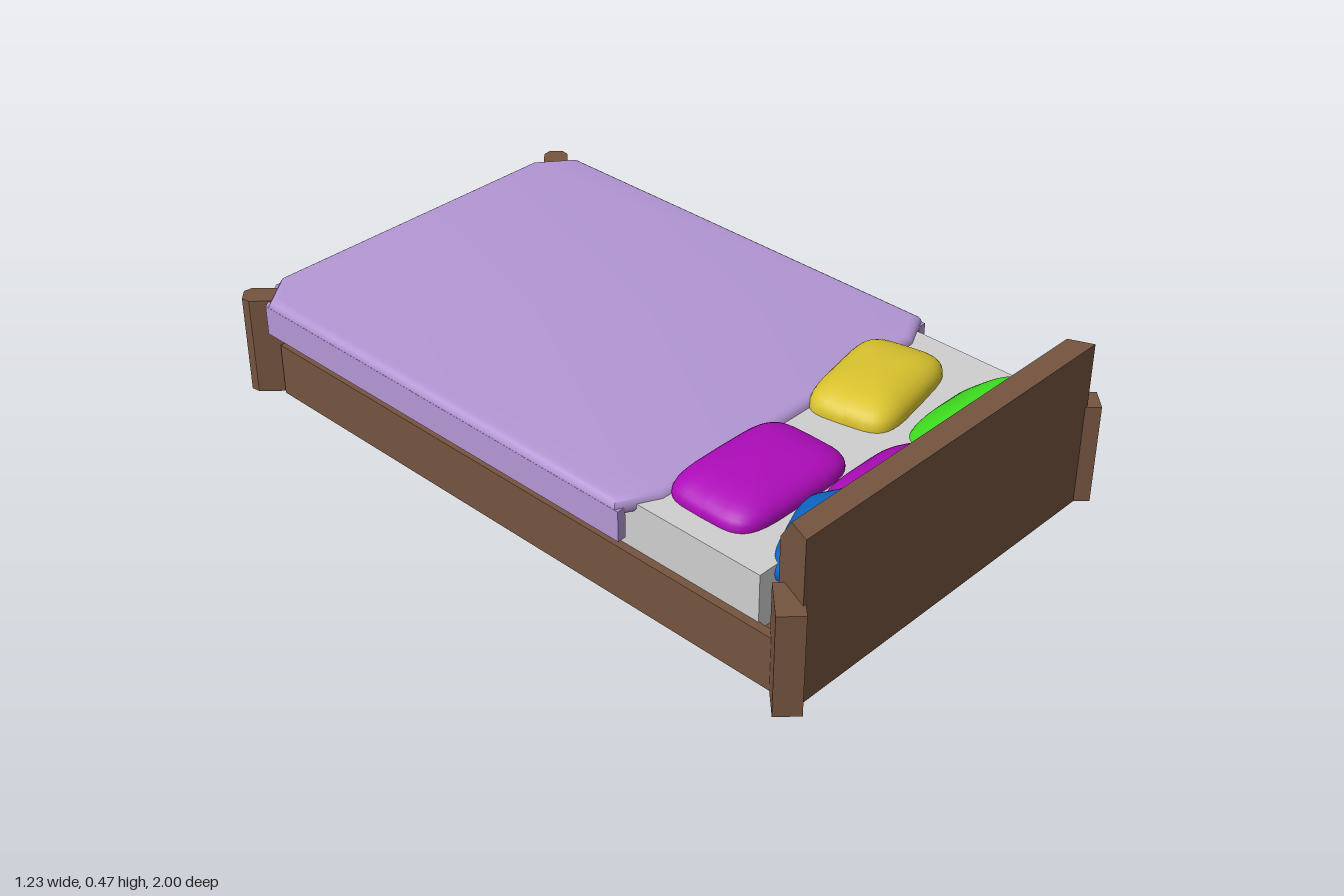
import * as THREE from 'three';
import { toCreasedNormals } from 'three/addons/utils/BufferGeometryUtils.js';

const mat = (name, color) => {
  const m = new THREE.MeshStandardMaterial({ color });
  m.name = name;
  return m;
};

export function createModel() {
  const bed = new THREE.Group();
  bed.name = 'bed';
  const wood = mat('brown wood', 0x755440);
  const linen = mat('pale grey linen', 0xcfcfcf);
  const lilac = mat('lilac blanket', 0xb396d4);
  const magenta = mat('magenta', 0xae0cba);
  const yellow = mat('yellow', 0xdac32e);
  const green = mat('green', 0x3fe01f);
  const blue = mat('blue', 0x0d66c8);

  const add = (name, geometry, material) => {
    const m = new THREE.Mesh(geometry, material);
    m.name = name;
    bed.add(m);
    return m;
  };
  // box given by its limits on each axis
  const box = (name, x0, x1, y0, y1, z0, z1, material) =>
    add(name, new THREE.BoxGeometry(x1 - x0, y1 - y0, z1 - z0), material)
      .position.set((x0 + x1) / 2, (y0 + y1) / 2, (z0 + z1) / 2);
  // plan outline of [x, z] points, extruded down from y = top
  const slab = (points, top, depth, options = {}) => {
    const shape = new THREE.Shape(points.map(p => new THREE.Vector2(...p)));
    const g = new THREE.ExtrudeGeometry(shape, { depth, bevelEnabled: false, ...options });
    return g.rotateX(Math.PI / 2).translate(0, top, 0);
  };

  // frame: side rails, foot rail, floor panel
  for (const s of [-1, 1]) {
    const side = s > 0 ? 'left' : 'right';
    box(side + 'Rail', s * 0.54 - 0.0125, s * 0.54 + 0.0125, 0, 0.155, -0.89, 0.89, wood);
  }
  box('footRail', -0.53, 0.53, 0, 0.155, -0.935, -0.9, wood);
  box('floorPanel', -0.53, 0.53, 0.002, 0.13, -0.9, 0.87, wood);

  // diagonal corner posts, outline in (along, across) from the outer end
  const headPost = [[-0.12, -0.035], [0, -0.035], [0, 0.035], [-0.12, 0.035]];
  const footPost = [[-0.13, -0.035], [0.02, -0.035], [0.04, -0.02], [0.04, 0.02], [0.02, 0.035], [-0.13, 0.035]];
  const post = (name, outline, cx, cz) => {
    const sx = Math.sign(cx), sz = Math.sign(cz), k = Math.SQRT1_2;
    const pts = outline.map(([u, v]) => [cx + sx * (u + v) * k, cz + sz * (u - v) * k]);
    add(name, slab(pts, 0.29, 0.29), wood);
  };
  for (const s of [-1, 1]) {
    const side = s > 0 ? 'left' : 'right';
    post(side + 'HeadPost', headPost, s * 0.59, 0.975);
    post(side + 'FootPost', footPost, s * 0.56, -0.96);
  }

  // headboard: side profile extruded across, ends mitred inwards
  const profile = new THREE.Shape([[0.86, 0], [0.97, 0], [0.97, 0.472], [0.905, 0.472], [0.86, 0.4]]
    .map(([z, y]) => new THREE.Vector2(-z, y)));
  const headboard = new THREE.ExtrudeGeometry(profile, { depth: 2, bevelEnabled: false })
    .translate(0, 0, -1).rotateY(Math.PI / 2);
  const hp = headboard.attributes.position;
  for (let i = 0; i < hp.count; i++) {
    hp.setX(i, hp.getX(i) * (0.5 + 0.045 * (hp.getZ(i) - 0.86) / 0.11));
  }
  headboard.computeVertexNormals();
  add('headboard', headboard, wood);

  // mattress
  box('mattress', -0.53, 0.53, 0.12, 0.29, -0.84, 0.83, linen);

  // blanket: soft-edged top sheet and a hanging skirt on three sides
  const b = 0.025;
  const sheet = [[-0.49, 0.475], [-0.58, 0.43], [-0.58, -0.9], [-0.49, -0.97],
    [0.49, -0.97], [0.58, -0.9], [0.58, 0.43], [0.49, 0.475]]
    .map(([x, z]) => [x - Math.sign(x) * b, z - Math.sign(z) * b]);
  const sheetGeo = slab(sheet, 0.31 - b, 0.001,
    { bevelEnabled: true, bevelSize: b, bevelThickness: b, bevelSegments: 4 });
  add('blanketTop', toCreasedNormals(sheetGeo, 0.6), lilac);
  const skirt = [[-0.58, 0.432], [-0.58, -0.9], [-0.49, -0.97], [0.49, -0.97], [0.58, -0.9], [0.58, 0.432],
    [0.555, 0.432], [0.555, -0.89], [0.48, -0.945], [-0.48, -0.945], [-0.555, -0.89], [-0.555, 0.432]];
  add('blanketSkirt', slab(skirt, 0.287, 0.087), lilac);

  // pillow: sphere squared off in plan with a plump cross-section
  const pillow = (name, material, size, position, tilt, turn) => {
    const g = new THREE.SphereGeometry(1, 36, 20);
    const p = g.attributes.position;
    const soft = (v, e) => Math.sign(v) * Math.pow(Math.abs(v), e);
    for (let i = 0; i < p.count; i++) {
      const x = p.getX(i), y = p.getY(i), z = p.getZ(i);
      const r = Math.hypot(x, z) || 1;
      const spread = Math.pow(Math.min(r, 1), 0.75);
      p.setXYZ(i, soft(x / r, 0.45) * spread * size[0] / 2,
        soft(y, 0.85) * size[1] / 2, soft(z / r, 0.45) * spread * size[2] / 2);
    }
    g.computeVertexNormals();
    const m = add(name, g, material);
    m.position.set(...position);
    m.rotation.set(-tilt, turn, 0, 'YXZ');
  };
  pillow('frontRightPillow', magenta, [0.41, 0.12, 0.28], [-0.26, 0.295, 0.588], 0, 0);
  pillow('frontLeftPillow', yellow, [0.37, 0.14, 0.25], [0.238, 0.292, 0.543], 0, 0.2);
  pillow('backLeftPillow', green, [0.33, 0.13, 0.22], [0.272, 0.307, 0.808], 0.7, 0);
  pillow('backMiddlePillow', magenta, [0.33, 0.12, 0.22], [-0.06, 0.295, 0.815], 0.6, 0);
  pillow('backRightPillow', blue, [0.32, 0.11, 0.2], [-0.315, 0.288, 0.835], 0.45, 0.4);
  return bed;
}
